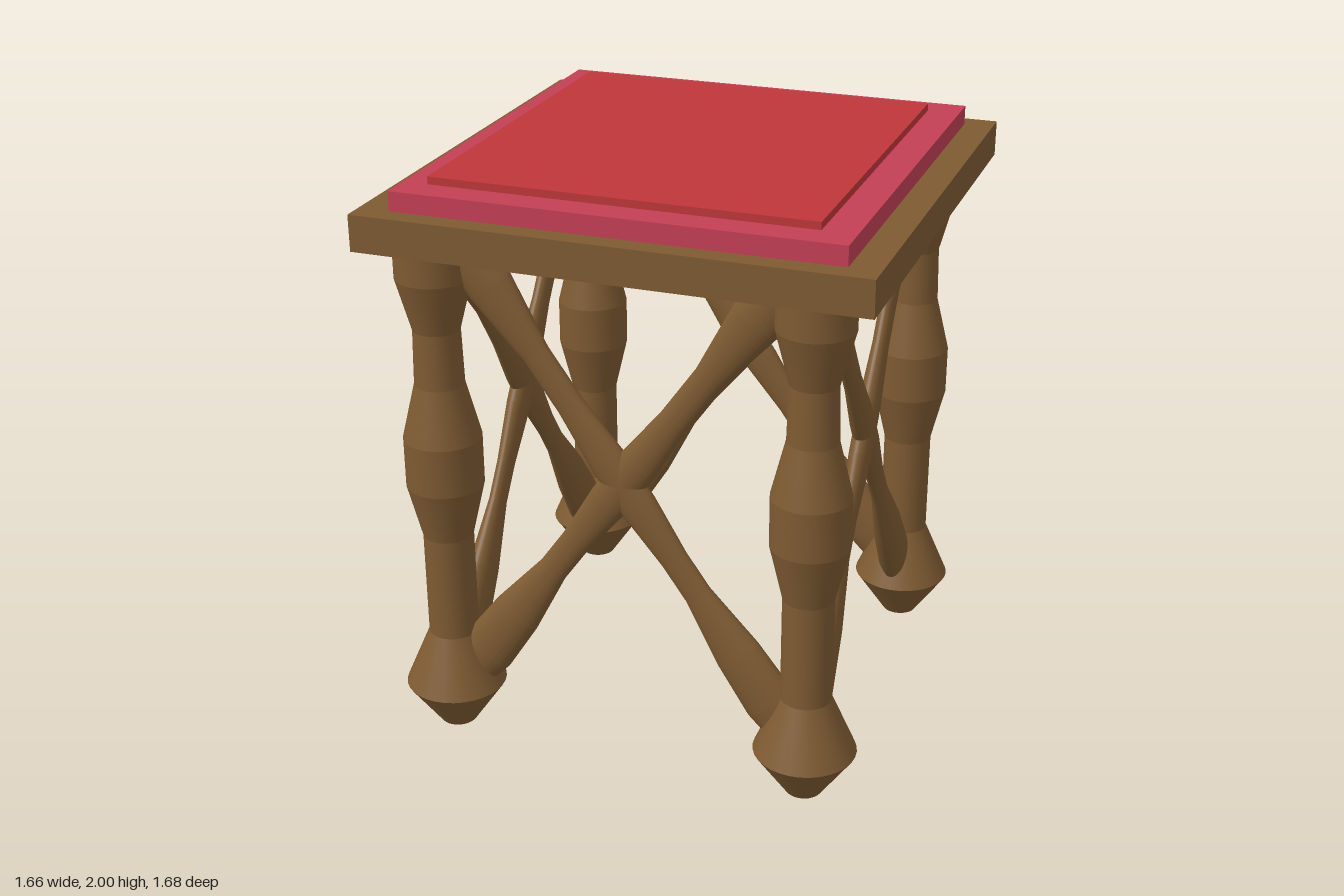
import * as THREE from 'three';
import { toCreasedNormals } from 'three/addons/utils/BufferGeometryUtils.js';

const wood = new THREE.MeshStandardMaterial({ color: 0x7d5a32 });
const trim = new THREE.MeshStandardMaterial({ color: 0xc23f55 });
const red = new THREE.MeshStandardMaterial({ color: 0xbe3639 });

// Turned part from [radius, height] pairs, listed bottom to top
function turned(profile) {
  const points = profile.map(([r, y]) => new THREE.Vector2(r, y));
  return toCreasedNormals(new THREE.LatheGeometry(points, 32), 0.21);
}

// Box given by its extents on each axis
function slab(name, material, [x0, x1], [y0, y1], [z0, z1]) {
  const mesh = new THREE.Mesh(new THREE.BoxGeometry(x1 - x0, y1 - y0, z1 - z0), material);
  mesh.position.set((x0 + x1) / 2, (y0 + y1) / 2, (z0 + z1) / 2);
  mesh.name = name;
  return mesh;
}

export function createModel() {
  const model = new THREE.Group();
  model.name = 'stool';

  // Seat: wooden frame, padded trim passing through it, top cushion
  model.add(
    slab('seatFrame', wood, [-0.83, 0.83], [1.79, 1.91], [-0.81, 0.84]),
    slab('cushionTrim', trim, [-0.725, 0.73], [1.78, 1.975], [-0.74, 0.77]),
    slab('cushionTop', red, [-0.64, 0.62], [1.9, 2.0], [-0.64, 0.67]),
  );

  // Four turned legs with flared feet
  const legGeometry = turned([
    [0, 0], [0.062, 0], [0.172, 0.16], [0.085, 0.36], [0.085, 0.73], [0.13, 0.92],
    [0.13, 1.09], [0.083, 1.28], [0.078, 1.47], [0.125, 1.65], [0.125, 1.8], [0, 1.8],
  ]);
  const legs = [
    ['frontRightLeg', -0.66, 0.01, 0.63], ['frontLeftLeg', 0.6, 0, 0.625],
    ['backRightLeg', -0.66, 0.01, -0.665], ['backLeftLeg', 0.605, 0, -0.645],
  ];
  for (const [name, x, y, z] of legs) {
    const leg = new THREE.Mesh(legGeometry, wood);
    leg.position.set(x, y, z);
    leg.name = name;
    model.add(leg);
  }

  // Crossed turned braces on each side, flattened in depth
  const braceGeometry = turned([
    [0, -1.0], [0.075, -1.0], [0.094, -0.88], [0.084, -0.68], [0.05, -0.44], [0.05, -0.3],
    [0.067, -0.09], [0.067, 0.09], [0.05, 0.3], [0.05, 0.5], [0.084, 0.76], [0.08, 0.93], [0, 0.93],
  ]);
  const tilt = 0.615;
  const sides = [
    ['front', -0.025, 0.63, 0], ['back', -0.025, -0.65, 0],
    ['left', 0.6, -0.01, Math.PI / 2], ['right', -0.66, -0.01, Math.PI / 2],
  ];
  for (const [side, x, z, turn] of sides) {
    const cross = new THREE.Group();
    cross.name = side + 'CrossBraces';
    cross.position.set(x, 1.03, z);
    cross.rotation.y = turn;
    for (const s of [-1, 1]) {
      const brace = new THREE.Mesh(braceGeometry, wood);
      brace.scale.z = 0.55;
      brace.rotation.z = s * tilt;
      brace.name = side + (s > 0 ? 'FallingBrace' : 'RisingBrace');
      cross.add(brace);
    }
    model.add(cross);
  }
  return model;
}
